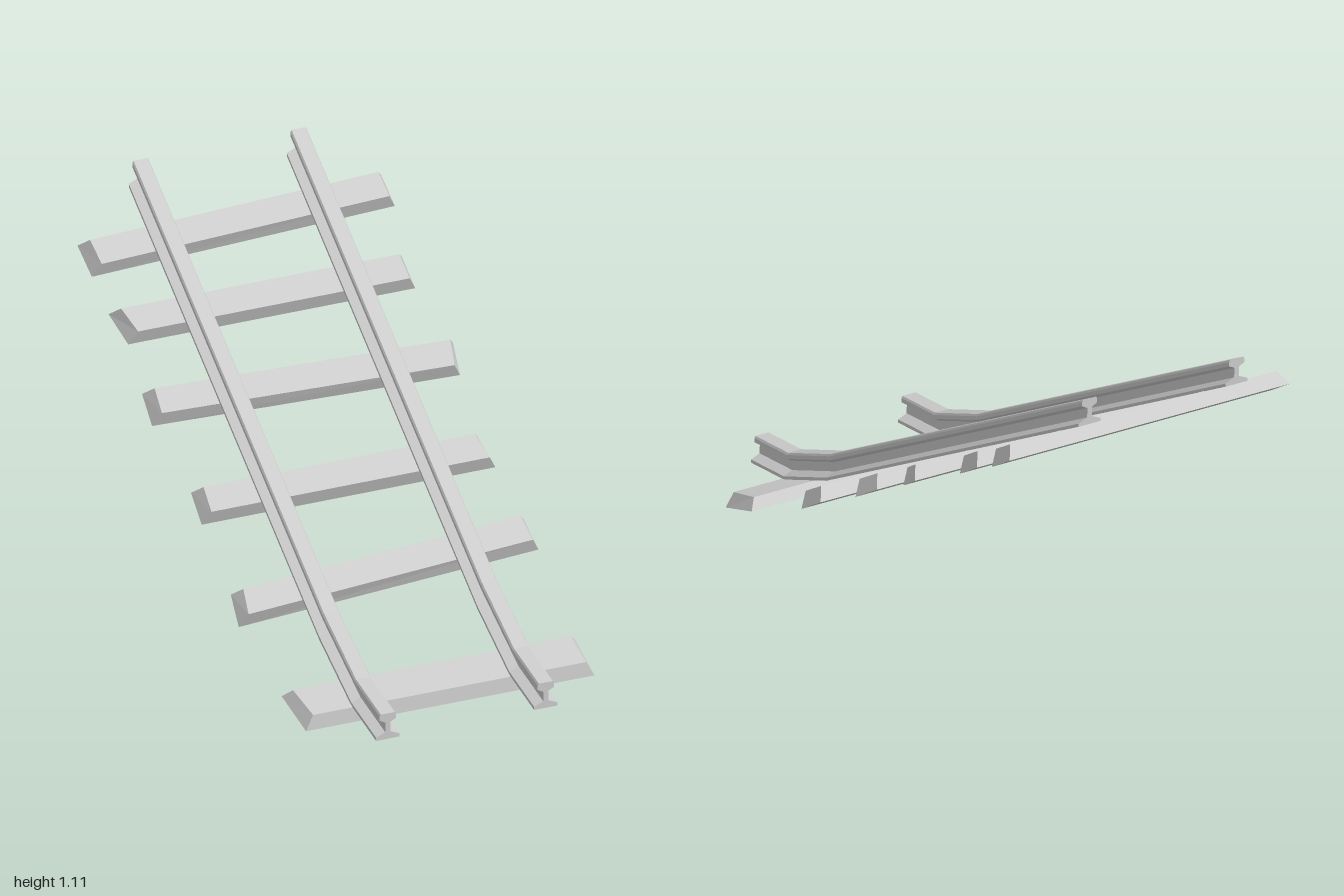
import * as THREE from 'three';

const material = new THREE.MeshStandardMaterial({ color: 0xcccccc, flatShading: true, side: THREE.DoubleSide });

// Rail: I-section extruded in three steps, then bent along stations of [z, rise]
const STATIONS = [[1, 0], [0.8, 0.028], [0.54, 0.137], [-1, 1]];
const HALF_PROFILE = [[0.04, 0.025], [0.04, 0.036], [0.009, 0.05], [0.008, 0.083],
  [0.028, 0.094], [0.028, 0.108], [0.024, 0.115]];

function makeRail(name, x) {
  const right = HALF_PROFILE.map(([px, py]) => new THREE.Vector2(px, py));
  const left = HALF_PROFILE.map(([px, py]) => new THREE.Vector2(-px, py)).reverse();
  const steps = STATIONS.length - 1;
  const geometry = new THREE.ExtrudeGeometry(new THREE.Shape([...right, ...left]),
    { depth: steps, steps, bevelEnabled: false });
  const p = geometry.attributes.position;
  for (let i = 0; i < p.count; i++) {
    const [z, rise] = STATIONS[steps - Math.round(p.getZ(i))];
    p.setY(i, p.getY(i) + rise);
    p.setZ(i, z);
  }
  geometry.computeVertexNormals();
  const rail = new THREE.Mesh(geometry, material);
  rail.name = name;
  rail.position.x = x;
  return rail;
}

// Sleeper section as [z, y] offsets from its upper front edge
const SLOPED = { topBack: [-0.078, 0.049], bottomFront: [-0.018, -0.049], bottomBack: [-0.118, 0.015] };
const LEVEL = { topBack: [-0.12, 0.034], bottomFront: [0.005, -0.05], bottomBack: [-0.15, 0.003] };
const END_INSET = 0.026;

// lo, hi: [z, y] of the upper front edge at the -x and +x ends
// xLo, xHi: x of the bottom corners there, [front, back]
const SLEEPERS = [
  { lo: [0.81, 0.053], hi: [0.81, 0.051], xLo: [-0.472, -0.49], xHi: [0.512, 0.51], section: LEVEL },
  { lo: [0.407, 0.226], hi: [0.349, 0.26], xLo: [-0.522, -0.507], xHi: [0.525, 0.515], section: SLOPED },
  { lo: [0.064, 0.42], hi: [0.064, 0.42], xLo: [-0.504, -0.498], xHi: [0.498, 0.48], section: SLOPED },
  { lo: [-0.275, 0.612], hi: [-0.243, 0.597], xLo: [-0.53, -0.522], xHi: [0.507, 0.525], section: SLOPED },
  { lo: [-0.546, 0.764], hi: [-0.546, 0.764], xLo: [-0.497, -0.522], xHi: [0.482, 0.479], section: SLOPED },
  { lo: [-0.778, 0.897], hi: [-0.815, 0.917], xLo: [-0.523, -0.53], xHi: [0.526, 0.521], section: SLOPED },
];

function makeSleeper({ lo, hi, xLo, xHi, section }, index) {
  const geometry = new THREE.BoxGeometry(1, 1, 1);
  const p = geometry.attributes.position;
  for (let i = 0; i < p.count; i++) {
    const atHi = p.getX(i) > 0, top = p.getY(i) > 0, front = p.getZ(i) > 0;
    const [z, y] = atHi ? hi : lo;
    const [dz, dy] = top ? (front ? [0, 0] : section.topBack)
      : (front ? section.bottomFront : section.bottomBack);
    const x = (atHi ? xHi : xLo)[front ? 0 : 1];
    const inset = top ? END_INSET : 0;
    p.setXYZ(i, x + (atHi ? -inset : inset), y + dy, z + dz);
  }
  geometry.computeVertexNormals();
  const sleeper = new THREE.Mesh(geometry, material);
  sleeper.name = `sleeper${index + 1}`;
  return sleeper;
}

export function createModel() {
  const model = new THREE.Group();
  model.name = 'slopedRailTrack';
  model.add(makeRail('leftRail', 0.268), makeRail('rightRail', -0.271));
  SLEEPERS.forEach((spec, i) => model.add(makeSleeper(spec, i)));
  return model;
}
